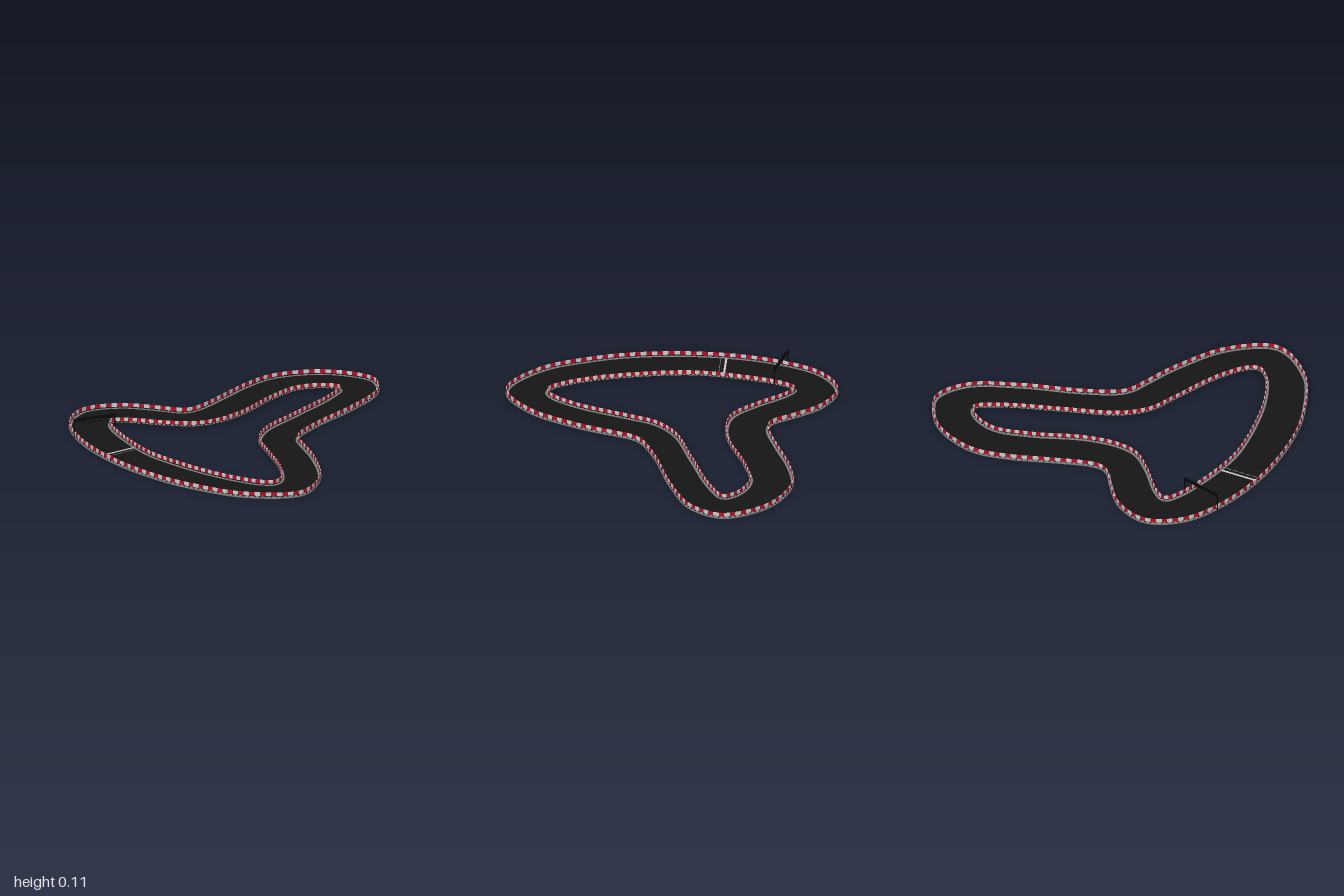
import * as THREE from 'three';
import { mergeGeometries } from 'three/addons/utils/BufferGeometryUtils.js';

const mat = (color) => new THREE.MeshStandardMaterial({ color });
const ASPHALT = mat(0x151515), SHOULDER = mat(0x808080), RED = mat(0xb80c22),
  WHITE = mat(0xcccccc), DARK = mat(0x222222), BLACK = mat(0x080808);

// Road edges as [x, z], both clockwise seen from above
const OUTER = [
  [-0.61, -0.93], [-0.41, -0.86], [-0.26, -0.69], [-0.203, -0.61], [-0.16, -0.58], [-0.085, -0.578],
  [0.14, -0.65], [0.35, -0.725], [0.57, -0.76], [0.81, -0.67], [0.94, -0.53], [0.99, -0.385], [0.89, -0.21],
  [0.62, -0.075], [0.3, 0.03], [0.1, 0.125], [0.05, 0.185], [0.02, 0.265], [-0.07, 0.5], [-0.24, 0.78],
  [-0.48, 0.92], [-0.74, 0.75], [-0.88, 0.49], [-0.96, 0.22], [-0.99, -0.18], [-0.93, -0.555], [-0.8, -0.82],
];
const INNER = [
  [-0.605, -0.69], [-0.53, -0.645], [-0.395, -0.49], [-0.26, -0.37], [-0.13, -0.34], [0.06, -0.365],
  [0.35, -0.475], [0.555, -0.52], [0.7, -0.465], [0.757, -0.385], [0.62, -0.295], [0.3, -0.175], [0, -0.06],
  [-0.13, 0.06], [-0.19, 0.2], [-0.315, 0.51], [-0.42, 0.66], [-0.485, 0.69], [-0.55, 0.64], [-0.66, 0.41],
  [-0.745, 0.03], [-0.755, -0.18], [-0.69, -0.53], [-0.645, -0.645],
];
const SEGMENTS = 200;

const toCurve = (pts) => new THREE.CatmullRomCurve3(
  pts.map(([x, z]) => new THREE.Vector3(x, 0, z)), true, 'centripetal');

// Evenly spaced edge points, shifted sideways by d (positive is away from the loop)
function edgePoints(curve, d = 0) {
  return Array.from({ length: SEGMENTS }, (_, i) => {
    const t = curve.getTangentAt(i / SEGMENTS);
    const p = curve.getPointAt(i / SEGMENTS);
    return new THREE.Vector3(p.x + t.z * d, 0, p.z - t.x * d);
  });
}

// Flat ring between two closed outlines, standing on y
function ring(name, outside, inside, y, height, material) {
  const flat = (pts) => pts.map((p) => new THREE.Vector2(p.x, -p.z));
  const shape = new THREE.Shape(flat(outside));
  shape.holes.push(new THREE.Path(flat(inside)));
  const geo = new THREE.ExtrudeGeometry(shape, { depth: height, bevelEnabled: false });
  geo.rotateX(-Math.PI / 2).translate(0, y, 0);
  const mesh = new THREE.Mesh(geo, material);
  mesh.name = name;
  return mesh;
}

function box(name, w, h, d, x, y, z, material) {
  const mesh = new THREE.Mesh(new THREE.BoxGeometry(w, h, d), material);
  mesh.position.set(x, y, z);
  mesh.name = name;
  return mesh;
}

// Striped barrier panels on short posts along one edge
function barrier(name, pts) {
  const group = new THREE.Group();
  group.name = name;
  const red = [], white = [], posts = [];
  pts.forEach((a, i) => {
    const b = pts[(i + 1) % pts.length];
    const angle = -Math.atan2(b.z - a.z, b.x - a.x);
    const panel = new THREE.BoxGeometry(a.distanceTo(b) + 0.002, 0.02, 0.005);
    panel.rotateY(angle).translate((a.x + b.x) / 2, 0.025, (a.z + b.z) / 2);
    (i % 2 ? white : red).push(panel);
    posts.push(new THREE.BoxGeometry(0.008, 0.016, 0.005).rotateY(angle).translate(a.x, 0.008, a.z));
  });
  [['redPanels', red, RED], ['whitePanels', white, WHITE], ['barrierPosts', posts, DARK]]
    .forEach(([part, list, material]) => {
      const mesh = new THREE.Mesh(mergeGeometries(list), material);
      mesh.name = part;
      group.add(mesh);
    });
  return group;
}

export function createModel() {
  const model = new THREE.Group();
  model.name = 'raceTrack';
  const outer = toCurve(OUTER), inner = toCurve(INNER);

  // Road surface and its grey shoulders
  const roadOut = edgePoints(outer, -0.014), roadIn = edgePoints(inner, 0.014);
  model.add(
    ring('road', roadOut, roadIn, 0, 0.006, ASPHALT),
    ring('outerShoulder', edgePoints(outer, 0.005), roadOut, 0, 0.007, SHOULDER),
    ring('innerShoulder', roadIn, edgePoints(inner, -0.005), 0, 0.007, SHOULDER),
  );

  // Barriers
  model.add(barrier('outerBarrier', edgePoints(outer)), barrier('innerBarrier', edgePoints(inner)));

  // Start line and grid dashes
  model.add(box('startLine', 0.215, 0.002, 0.012, -0.863, 0.007, -0.28, WHITE));
  for (let i = 0; i < 5; i++) {
    model.add(box('gridDash', 0.03, 0.002, 0.004, -0.945 + i * 0.04, 0.007, -0.25, SHOULDER));
  }

  // Gantry across the road with a hanging row of lamps
  const gantry = new THREE.Group();
  gantry.name = 'startGantry';
  gantry.position.set(-0.79, 0, -0.6);
  gantry.rotation.y = -Math.atan2(0.06, 0.24);
  gantry.add(box('gantryBeam', 0.25, 0.018, 0.008, 0, 0.101, 0, BLACK));
  for (const side of [-1, 1]) {
    gantry.add(box('gantryPost', 0.005, 0.108, 0.005, side * 0.122, 0.054, 0, BLACK));
  }
  gantry.add(box('lampPanel', 0.095, 0.012, 0.008, 0, 0.088, 0.004, DARK));
  for (let i = 0; i < 5; i++) {
    const lamp = new THREE.Mesh(new THREE.CylinderGeometry(0.006, 0.006, 0.008, 12), BLACK);
    lamp.name = 'lamp';
    lamp.rotation.x = Math.PI / 2;
    lamp.position.set((i - 2) * 0.019, 0.085, 0.01);
    gantry.add(lamp);
  }
  model.add(gantry);
  return model;
}
